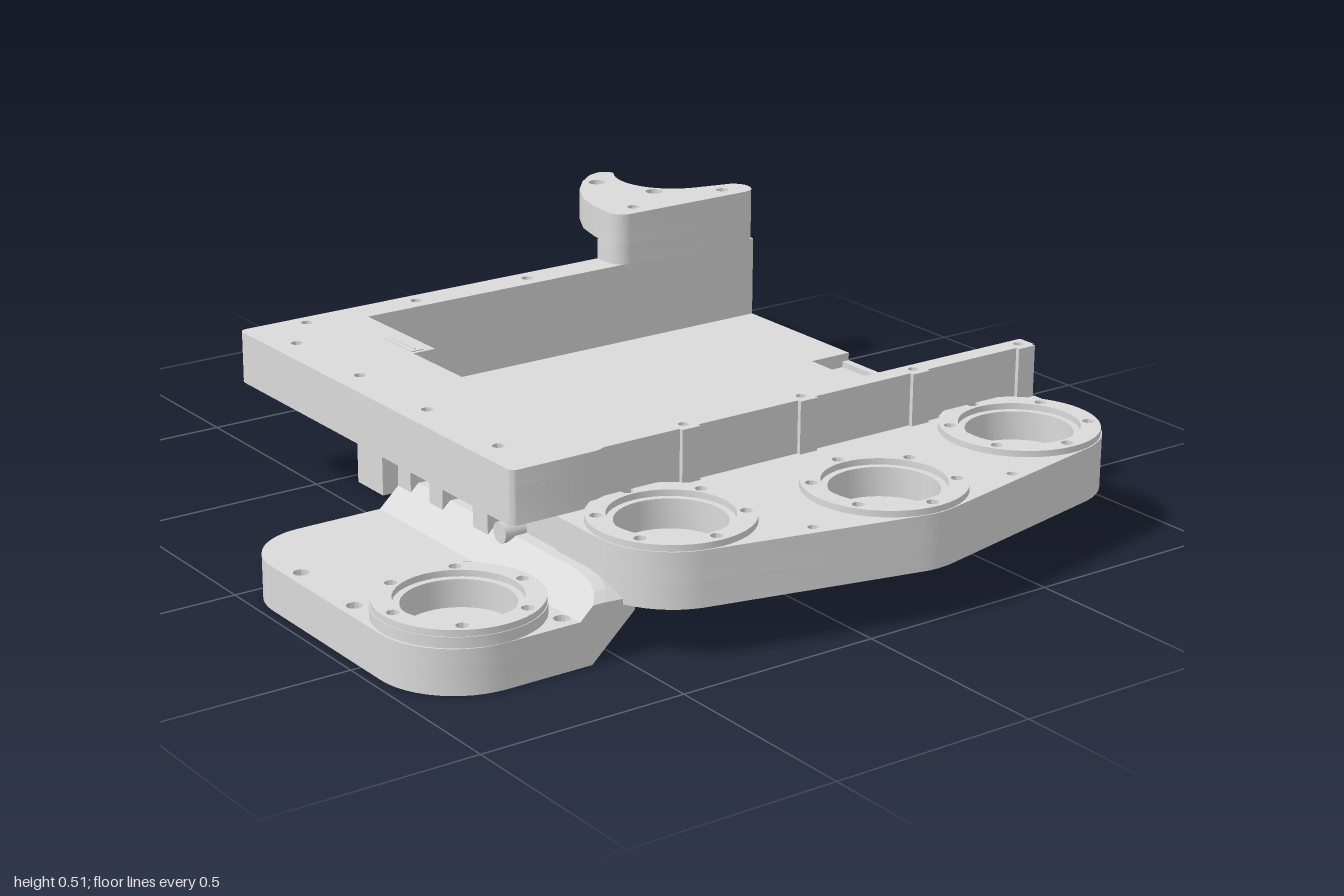
import * as THREE from 'three';
import { toCreasedNormals } from 'three/addons/utils/BufferGeometryUtils.js';
import { ConvexGeometry } from 'three/addons/geometries/ConvexGeometry.js';

const grey = new THREE.MeshStandardMaterial({ color: 0xdadada });
grey.name = 'plain grey';

export function createModel() {
  const model = new THREE.Group();

  const add = (name, geometry, x = 0, y = 0, z = 0) => {
    const mesh = new THREE.Mesh(geometry, grey);
    mesh.name = name;
    mesh.position.set(x, y, z);
    model.add(mesh);
    return mesh;
  };
  const box = (name, x0, x1, y0, y1, z0, z1) =>
    add(name, new THREE.BoxGeometry(x1 - x0, y1 - y0, z1 - z0), (x0 + x1) / 2, (y0 + y1) / 2, (z0 + z1) / 2);

  // Horizontal slab from an [x, z] outline, with round holes [x, z, r]
  const slab = (name, outline, y0, y1, holes = []) => {
    const points = outline.map(([x, z]) => new THREE.Vector2(x, -z));
    if (THREE.ShapeUtils.isClockWise(points)) points.reverse();
    const shape = new THREE.Shape(points);
    for (const [x, z, r] of holes) {
      const hole = new THREE.Path();
      hole.absarc(x, -z, r, 0, Math.PI * 2, true);
      shape.holes.push(hole);
    }
    const g = new THREE.ExtrudeGeometry(shape, { depth: y1 - y0, bevelEnabled: false, curveSegments: 20 });
    g.rotateX(-Math.PI / 2);
    return add(name, toCreasedNormals(g, 0.6), 0, y0, 0);
  };

  const arc = (cx, cz, r, a0, a1, n = 14) => Array.from({ length: n + 1 }, (_, i) => {
    const a = (a0 + (a1 - a0) * i / n) * Math.PI / 180;
    return [cx + r * Math.cos(a), cz + r * Math.sin(a)];
  });

  // Outline stretched round a set of circles [x, z, r]
  const hull = (circles) => {
    const pts = circles.flatMap(([x, z, r]) => arc(x, z, r, 0, 360, 48)).sort((a, b) => a[0] - b[0] || a[1] - b[1]);
    const half = (list) => {
      const h = [];
      for (const p of list) {
        while (h.length > 1) {
          const [a, b] = h.slice(-2);
          if ((b[0] - a[0]) * (p[1] - a[1]) - (b[1] - a[1]) * (p[0] - a[0]) > 1e-7) break;
          h.pop();
        }
        h.push(p);
      }
      return h.slice(0, -1);
    };
    return [...half(pts), ...half([...pts].reverse())];
  };

  // Cup parts: two cable holes in the floor and a ring with six screw holes
  const cableHoles = (x, z, turn) => [90, 270].map((d) => {
    const a = (d + turn) * Math.PI / 180;
    return [x + 0.08 * Math.cos(a), z + 0.08 * Math.sin(a), 0.017];
  });
  const cupRing = (x, z, y0, y1, turn) => {
    const screws = arc(x, z, 0.162, turn, turn + 300, 5).map(([a, b]) => [a, b, 0.014]);
    slab('cupRing', arc(x, z, 0.187, 0, 352.5, 47), y0, y1, [[x, z, 0.141], ...screws]);
  };
  const podBody = (name, outline, cups, y0, yFloor, yTop, screws = []) => {
    slab(name + 'Floor', outline, y0, yFloor, cups.flatMap(([x, z, t]) => cableHoles(x, z, t)));
    slab(name + 'Body', outline, yFloor, yTop, [...cups.map(([x, z]) => [x, z, 0.125]), ...screws]);
  };

  // Tray floor with a pocket in its back edge; the front edge steps back on the left
  const frontEdge = [[0.54, 0.5], [0.36, 0.5], [0.36, 0.4], [-0.64, 0.4]];
  slab('trayBottom', [[-0.64, -0.87], [0.54, -0.87], ...frontEdge], 0.12, 0.135);
  slab('trayFloor', [[-0.64, -0.87], [-0.15, -0.87], [-0.15, -0.75], [0.29, -0.75], [0.29, -0.87],
    [0.54, -0.87], ...frontEdge], 0.135, 0.17);
  box('pocketLip', -0.15, 0.29, 0.135, 0.15, -0.87, -0.85);

  // Tray walls, open at the back
  const wall = (front) => [[-0.64, -0.87], [-0.555, -0.87], [-0.555, 0.31], [-0.25, 0.31], [-0.25, 0.37],
    [0.485, 0.37], [0.485, -0.87], [0.533, -0.87], [0.533, 0.37], ...front];
  const fullFront = [[0.543, 0.4], ...arc(0.523, 0.6, 0.02, 0, 90, 5), ...arc(-0.62, 0.6, 0.02, 90, 180, 5)];
  const rightScrews = [-0.84, -0.515, -0.185, 0.145];
  const wallScrews = [
    ...[-0.8, -0.515, -0.185, 0.145, 0.455].map((z) => [-0.6, z, 0.014]),
    ...[-0.475, -0.185, 0.105, 0.395].map((x) => [x, 0.555, 0.014]),
    ...rightScrews.map((z) => [0.512, z, 0.012]),
  ];
  slab('lowerWall', wall(frontEdge), 0.17, 0.25);
  slab('middleWall', wall(fullFront), 0.25, 0.34);
  slab('upperWall', wall(fullFront), 0.34, 0.377, wallScrews);
  for (const z of rightScrews) box('wallBoss', 0.53, 0.543, 0.25, 0.377, Math.max(z - 0.025, -0.87), z + 0.025);

  // Convex solid from side profiles [z, y] placed along x
  const loft = (name, sections) => add(name, new ConvexGeometry(
    sections.flatMap(([x, profile]) => profile.map(([z, y]) => new THREE.Vector3(x, y, z)))));
  const slope = [[0.39, 0.17], [0.4, 0.17], [0.615, 0.25], [0.39, 0.25]];
  loft('frontSlope', [[-0.64, slope], [0.03, slope]]);

  // Thin frames of the openings on the inside and top of the front wall
  const frame = (x0, x1, y0, y1, z) => {
    for (const y of [y0, y1]) box('openingFrame', x0, x1, y - 0.004, y + 0.004, z - 0.004, z);
    for (const x of [x0, x1]) box('openingFrame', x - 0.004, x + 0.004, y0, y1, z - 0.004, z);
  };
  frame(0.28, 0.36, 0.22, 0.33, 0.37);
  frame(0.18, 0.26, 0.22, 0.33, 0.37);
  frame(-0.2, -0.1, 0.2, 0.25, 0.37);
  box('topSlotPlate', -0.385, -0.26, 0.376, 0.379, 0.335, 0.369);
  box('topSlotBar', -0.375, -0.27, 0.378, 0.381, 0.35, 0.356);

  // Right wing with three cups
  const wing = [[0.7, -0.68, 0], [0.81, -0.185, 0], [0.7, 0.315, 0]];
  const wingOutline = hull([...wing.map(([x, z]) => [x, z, 0.19]), [0.541, -0.869, 0.001], [0.541, 0.504, 0.001]]);
  podBody('wing', wingOutline, wing, 0.12, 0.18, 0.25, [[0.91, -0.47, 0.012], [0.91, 0.095, 0.012]]);
  for (const [x, z, t] of wing) cupRing(x, z, 0.25, 0.265, t);

  // Back left pod
  const back = [-0.81, -0.79, 27];
  const backOutline = hull([[back[0], back[1], 0.19], [-0.58, -0.869, 0.001], [-0.641, -0.43, 0.001]]);
  podBody('backPod', backOutline, [back], 0.12, 0.18, 0.25);
  cupRing(back[0], back[1], 0.25, 0.265, 0);

  // Raised bracket above the back left pod
  const bracketHoles = [[-0.6, -0.8, 0.016], [-0.6, -0.515, 0.016], [-0.69, -0.645, 0.022], [-0.85, -0.575, 0.022]];
  slab('bracketStem', [...arc(-0.595, -0.835, 0.045, -180, 0, 10), ...arc(-0.59, -0.47, 0.04, 0, 90, 6), [-0.64, -0.43]],
    0.377, 0.43);
  slab('bracketTop', [...arc(-0.595, -0.835, 0.045, -180, 0, 10), ...arc(-0.59, -0.47, 0.04, 0, 90, 6),
    [-0.66, -0.435], [-0.74, -0.455], [-0.82, -0.498], [-0.88, -0.55], [-0.92, -0.6], [-0.93, -0.635], [-0.918, -0.66],
    ...arc(-0.81, -0.79, 0.155, 126, 10, 14)], 0.43, 0.51, bracketHoles);

  // Front pod with one cup
  const front = [0.58, 0.78, 0];
  const frontOutline = [[-0.035, 0.57], [0.77, 0.57], ...arc(0.58, 0.785, 0.19, 0, 90, 12),
    ...arc(0.125, 0.815, 0.16, 90, 180, 12)];
  const frontScrews = [[0.195, 0.94], [0.42, 0.94], [0.36, 0.62], [0.73, 0.62]];
  podBody('frontPod', frontOutline, [front], 0, 0.065, 0.105, frontScrews.map(([x, z]) => [x, z, 0.018]));
  slab('frontCupBody', arc(0.58, 0.78, 0.189, 0, 352.5, 47), 0.105, 0.13, [[0.58, 0.78, 0.125]]);
  cupRing(front[0], front[1], 0.13, 0.145, 30);

  // Sloping arm up to the tray, rounded off at its right corner
  loft('slopingArm', [[-0.035, 0.17], [0.66, 0.17], [0.71, 0.164], [0.745, 0.153], [0.77, 0.135]].map(([x, top]) => {
    const edge = 0.6 - (top - 0.105) * 1.08;
    return [x, [[0.6, 0.105], [edge, top], [edge - 0.03, top], [0.46, 0.13], [0.46, 0.1], [0.57, 0], [0.6, 0]]];
  }));

  // Hinge post and teeth between the arm and the tray
  box('hingePost', -0.18, -0.07, 0.12, 0.25, 0.4, 0.57);
  for (const [x0, x1] of [[-0.035, 0.02], [0.1, 0.155], [0.28, 0.34]]) box('hingeTooth', x0, x1, 0.14, 0.22, 0.4, 0.55);
  const pin = new THREE.CylinderGeometry(0.025, 0.025, 0.06, 20);
  pin.rotateX(Math.PI / 2);
  add('hingeScrew', pin, 0.395, 0.175, 0.525);

  return model;
}
